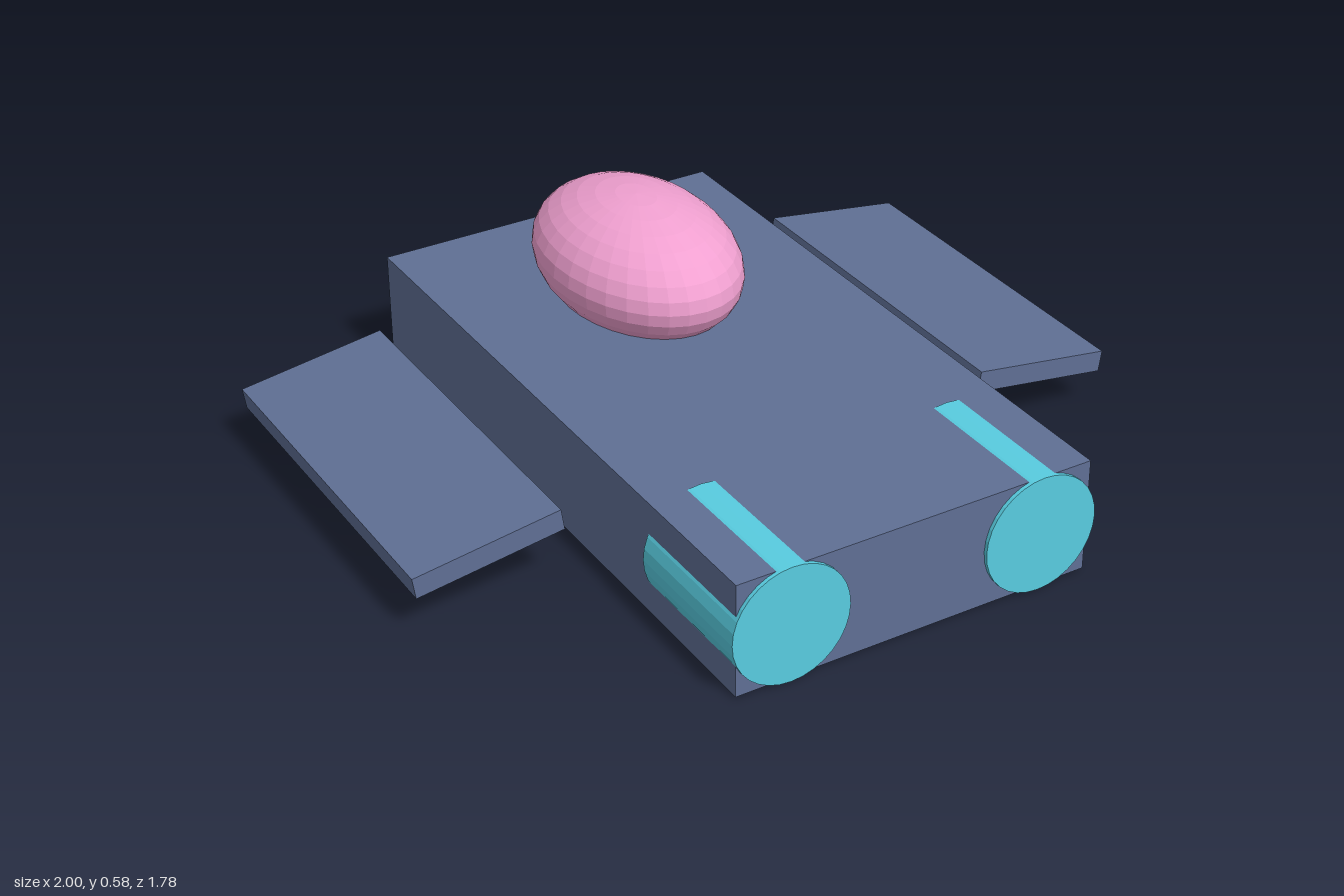
import * as THREE from 'three';

const material = (color) => new THREE.MeshStandardMaterial({ color, flatShading: true });

export function createModel() {
  const model = new THREE.Group();
  const hull = material(0x5f6f94);
  const cyan = material(0x58cce0);
  const pink = material(0xf0a0d0);

  const add = (name, geometry, mat, x, y, z) => {
    const mesh = new THREE.Mesh(geometry, mat);
    mesh.name = name;
    mesh.position.set(x, y, z);
    model.add(mesh);
    return mesh;
  };

  // Main slab
  add('body', new THREE.BoxGeometry(0.98, 0.306, 1.772), hull, 0, 0.158, -0.005);

  // Egg-shaped canopy sunk slightly into the top
  const canopy = add('canopy', new THREE.SphereGeometry(1, 32, 16), pink, 0, 0.407, -0.405);
  canopy.scale.set(0.246, 0.177, 0.355);

  // Mirrored engines and drooping side wings
  for (const side of [-1, 1]) {
    const name = side > 0 ? 'left' : 'right';
    const engine = new THREE.CylinderGeometry(0.158, 0.158, 0.395, 32).rotateX(Math.PI / 2);
    add(name + 'Engine', engine, cyan, side * 0.348, 0.158, 0.694);

    const wing = add(name + 'Wing', new THREE.BoxGeometry(0.396, 0.058, 0.99), hull, side * 0.8, 0.159, -0.205);
    wing.rotation.z = -side * 0.145;
  }
  return model;
}
